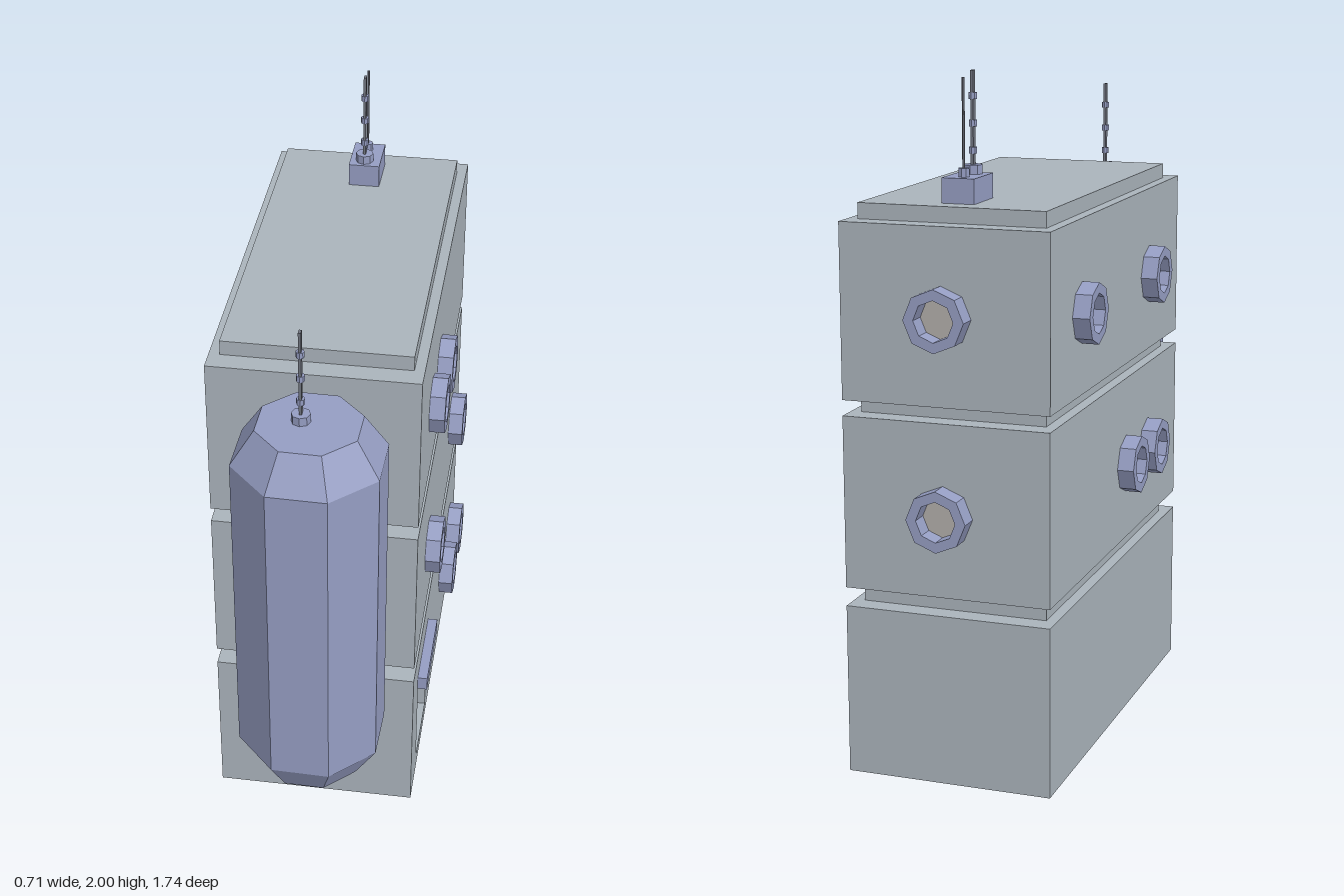
import * as THREE from 'three';

const mat = (color) => new THREE.MeshStandardMaterial({ color, flatShading: true });

export function createModel() {
  const model = new THREE.Group();
  const wall = mat(0xaab3bb), trim = mat(0x959dc2), glass = mat(0xb2aeaa);
  const doorMat = mat(0x85847f), metal = mat(0x70747f);

  // Adds a faceted mesh to a parent
  function add(name, geometry, material, x = 0, y = 0, z = 0, parent = model) {
    const g = geometry.index ? geometry.toNonIndexed() : geometry;
    g.computeVertexNormals();
    const mesh = new THREE.Mesh(g, material);
    mesh.name = name;
    mesh.position.set(x, y, z);
    parent.add(mesh);
    return mesh;
  }

  // Box given by its limits
  function box(name, material, x0, x1, y0, y1, z0, z1) {
    return add(name, new THREE.BoxGeometry(x1 - x0, y1 - y0, z1 - z0), material,
      (x0 + x1) / 2, (y0 + y1) / 2, (z0 + z1) / 2);
  }

  const W = 0.305, BACK = -0.812, FRONT = 0.458, RECESS = 0.05;

  // Upper floors, recessed joints and roof slab
  box('middleFloor', wall, -W, W, 0.555, 1.055, BACK, FRONT);
  box('topFloor', wall, -W, W, 1.1, 1.6, BACK, FRONT);
  for (const [name, y0, y1] of [['lowerJoint', 0.5, 0.555], ['upperJoint', 1.055, 1.1], ['roofSlab', 1.6, 1.645]]) {
    box(name, wall, -0.273, 0.275, y0, y1, -0.75, 0.395);
  }

  // Ground floor, with a doorway cut through its outer side wall
  box('groundFloor', wall, -W, W - RECESS, 0, 0.5, BACK, FRONT);
  const rect = (S, a, b, y0, y1) => new S().moveTo(a, y0).lineTo(b, y0).lineTo(b, y1).lineTo(a, y1).closePath();
  const side = rect(THREE.Shape, -FRONT, -BACK, 0, 0.5);
  side.holes.push(rect(THREE.Path, -0.32, -0.07, 0.05, 0.36));
  const sideGeo = new THREE.ExtrudeGeometry(side, { depth: RECESS, bevelEnabled: false }).rotateY(Math.PI / 2);
  add('doorwayWall', sideGeo, wall, W - RECESS);
  box('door', doorMat, W - RECESS, W - RECESS + 0.004, 0.05, 0.36, 0.07, 0.32);
  box('doorLintel', trim, W - 0.01, 0.335, 0.36, 0.405, 0.05, 0.335);

  // Octagonal porthole, built along +x and turned to face its wall
  function porthole(x, y, z, turn, depth) {
    const window = new THREE.Group();
    window.name = 'porthole';
    const profile = [[0.058, 0], [0.088, 0], [0.088, depth], [0.058, depth], [0.058, 0]]
      .map(([r, h]) => new THREE.Vector2(r, h));
    add('portholeFrame', new THREE.LatheGeometry(profile, 8).rotateZ(-Math.PI / 2), trim, 0, 0, 0, window);
    add('portholeGlass', new THREE.CircleGeometry(0.06, 8).rotateY(Math.PI / 2), glass, 0.004, 0, 0, window);
    window.position.set(x, y, z);
    window.rotation.y = turn;
    model.add(window);
  }
  for (const [y, z] of [[1.335, 0.16], [1.335, -0.05], [0.79, 0.14], [0.79, -0.535], [0.27, -0.385], [0.27, -0.605]]) {
    porthole(W, y, z, 0, 0.046);
  }
  for (const [y, z] of [[1.335, 0.137], [1.335, -0.535], [0.79, 0.137], [0.79, -0.095]]) {
    porthole(-W, y, z, Math.PI, 0.05);
  }
  for (const y of [1.35, 0.79]) porthole(0.008, y, BACK, Math.PI / 2, 0.058);

  // Faceted tank on the front wall
  const tankProfile = [[0, 0.36], [0.152, 0.36], [0.222, 0.475], [0.222, 1.48], [0.152, 1.585], [0, 1.585]]
    .map(([r, y]) => new THREE.Vector2(r, y));
  const tank = add('tank', new THREE.LatheGeometry(tankProfile, 8), trim, 0.024, 0, 0.664);
  tank.rotation.y = THREE.MathUtils.degToRad(21.3);

  // Antenna with a collar and evenly spaced knobs
  function antenna(name, y, z, height) {
    const group = new THREE.Group();
    group.name = name;
    group.position.set(0, y, z);
    add('collar', new THREE.CylinderGeometry(0.027, 0.027, 0.026, 8), trim, 0, 0.013, 0, group);
    add('mast', new THREE.BoxGeometry(0.008, height, 0.018), metal, 0, height / 2, 0, group);
    for (const h of [0.065, 0.14, 0.215]) {
      add('knob', new THREE.CylinderGeometry(0.012, 0.012, 0.018, 8), trim, 0, h, 0, group);
    }
    model.add(group);
  }
  antenna('tankAntenna', 1.585, 0.657, 0.285);

  // Roof box with its two antennas
  box('roofBox', trim, -0.045, 0.05, 1.645, 1.715, -0.69, -0.542);
  antenna('roofAntenna', 1.715, -0.577, 0.285);
  add('whipCollar', new THREE.CylinderGeometry(0.016, 0.016, 0.024, 8), trim, 0, 1.727, -0.65);
  add('whipAntenna', new THREE.CylinderGeometry(0.004, 0.004, 0.27, 6), metal, 0, 1.85, -0.65);

  return model;
}
